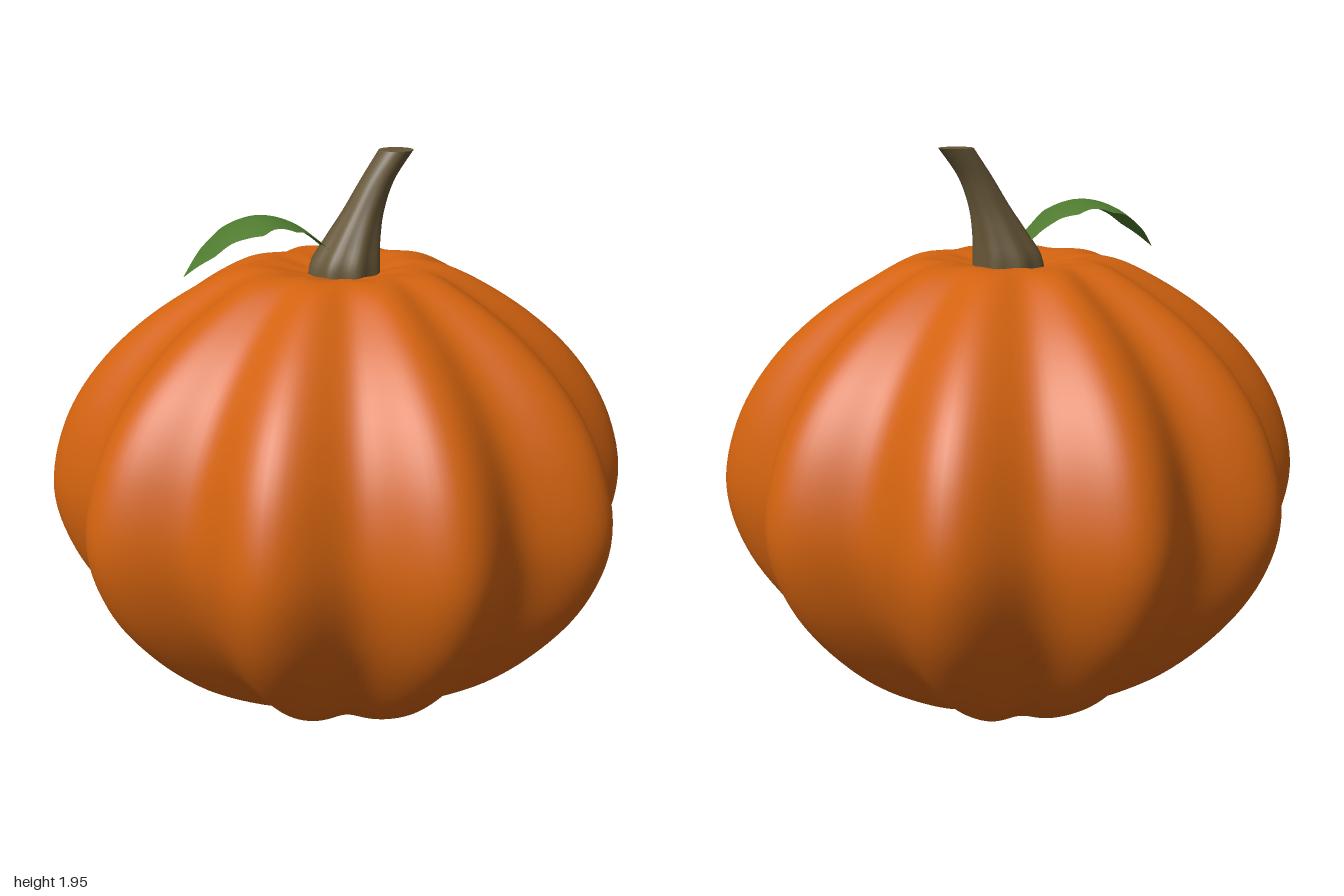
import * as THREE from 'three';

const V2 = (p) => new THREE.Vector2(p[0], p[1]);

// Surface over a grid: point(i, j) for i columns and j rows; wrap closes the columns into rings
function gridSurface(cols, rows, wrap, point) {
  const pos = [], idx = [];
  for (let j = 0; j < rows; j++)
    for (let i = 0; i < cols; i++) pos.push(...point(i, j));
  for (let j = 0; j < rows - 1; j++) {
    for (let i = 0; i < (wrap ? cols : cols - 1); i++) {
      const n = (i + 1) % cols;
      const a = j * cols + i, b = j * cols + n, c = a + cols, d = b + cols;
      idx.push(a, b, d, a, d, c);
    }
  }
  const g = new THREE.BufferGeometry();
  g.setAttribute('position', new THREE.Float32BufferAttribute(pos, 3));
  g.setIndex(idx);
  g.computeVertexNormals();
  return g;
}

// Ten-lobed body with shallow hollows at the top and bottom
function bodyGeometry() {
  const profile = new THREE.SplineCurve([
    [0.001, 0.05], [0.12, 0.03], [0.26, 0], [0.37, 0.03], [0.61, 0.18], [0.81, 0.375],
    [0.945, 0.58], [1, 0.8], [0.95, 1.03], [0.83, 1.23], [0.65, 1.4], [0.43, 1.535],
    [0.29, 1.575], [0.13, 1.55], [0.001, 1.53],
  ].map(V2)).getPoints(84);
  const n = 200;
  return gridSurface(n, profile.length, true, (i, j) => {
    const a = (i / n) * Math.PI * 2;
    const r = profile[j].x * (0.935 + 0.065 * Math.cos(10 * a) + 0.012 * Math.sin(3 * a));
    return [r * Math.sin(a), profile[j].y, r * Math.cos(a)];
  });
}

// Curved stem: level rings given as [height, centre x, radius], ribbed near the base
const stemRings = [
  [1.5, 0.01, 0.125], [1.58, 0.015, 0.118], [1.66, 0.042, 0.094], [1.75, 0.08, 0.07],
  [1.85, 0.13, 0.057], [1.945, 0.197, 0.058],
];
function stemPoint(t, a, scale = 1) {
  const r = stemPoint.radius.getPoint(t), c = stemPoint.centre.getPoint(t);
  const rad = r.x * scale * (1 + 0.06 * (1 - t) * Math.cos(8 * a));
  return [c.x + rad * Math.sin(a), c.y, rad * Math.cos(a)];
}
stemPoint.centre = new THREE.SplineCurve(stemRings.map(([y, x]) => V2([x, y])));
stemPoint.radius = new THREE.SplineCurve(stemRings.map(([y, , r]) => V2([r, y])));

// Arched leaf with a scalloped edge, drooping away from the midrib
function leafGeometry() {
  const arch = new THREE.SplineCurve([
    [-0.04, 1.62], [-0.1, 1.675], [-0.18, 1.732], [-0.28, 1.757], [-0.38, 1.73], [-0.47, 1.66], [-0.55, 1.58],
  ].map(V2));
  const widths = [
    [0.04, 0.045], [0.1, 0.057], [0.15, 0.08], [0.2, 0.115], [0.25, 0.11], [0.285, 0.118],
    [0.32, 0.138], [0.375, 0.115], [0.42, 0.088], [0.47, 0.075], [0.52, 0.028], [0.55, 0.002],
  ];
  const halfWidth = (d) => {
    let k = 1;
    while (k < widths.length - 1 && widths[k][0] < d) k++;
    const [d0, w0] = widths[k - 1], [d1, w1] = widths[k];
    return THREE.MathUtils.lerp(w0, w1, THREE.MathUtils.clamp((d - d0) / (d1 - d0), 0, 1));
  };
  const rows = 41, cols = 9;
  return gridSurface(cols, rows, false, (i, j) => {
    const p = arch.getPoint(j / (rows - 1));
    const z = (1 - (2 * i) / (cols - 1)) * halfWidth(-p.x);
    return [p.x, p.y - 1.6 * z * z, z + 0.01];
  });
}

export function createModel() {
  const orange = new THREE.MeshStandardMaterial({ color: 0xd2620f });
  orange.name = 'orange skin';
  const brown = new THREE.MeshStandardMaterial({ color: 0x665637 });
  brown.name = 'brown stem';
  const green = new THREE.MeshStandardMaterial({ color: 0x4f7a2f, side: THREE.DoubleSide });
  green.name = 'green leaf';

  const model = new THREE.Group();
  model.name = 'pumpkin';
  const add = (name, geometry, material) => {
    const mesh = new THREE.Mesh(geometry, material);
    mesh.name = name;
    model.add(mesh);
  };

  add('body', bodyGeometry(), orange);

  const n = 48, rows = 25;
  const angle = (i) => (i / n) * Math.PI * 2;
  add('stem', gridSurface(n, rows, true, (i, j) => stemPoint(j / (rows - 1), angle(i))), brown);
  add('stemTop', gridSurface(n, 2, true, (i, j) => stemPoint(1, angle(i), j ? 0.001 : 1)), brown);

  add('leaf', leafGeometry(), green);
  return model;
}
